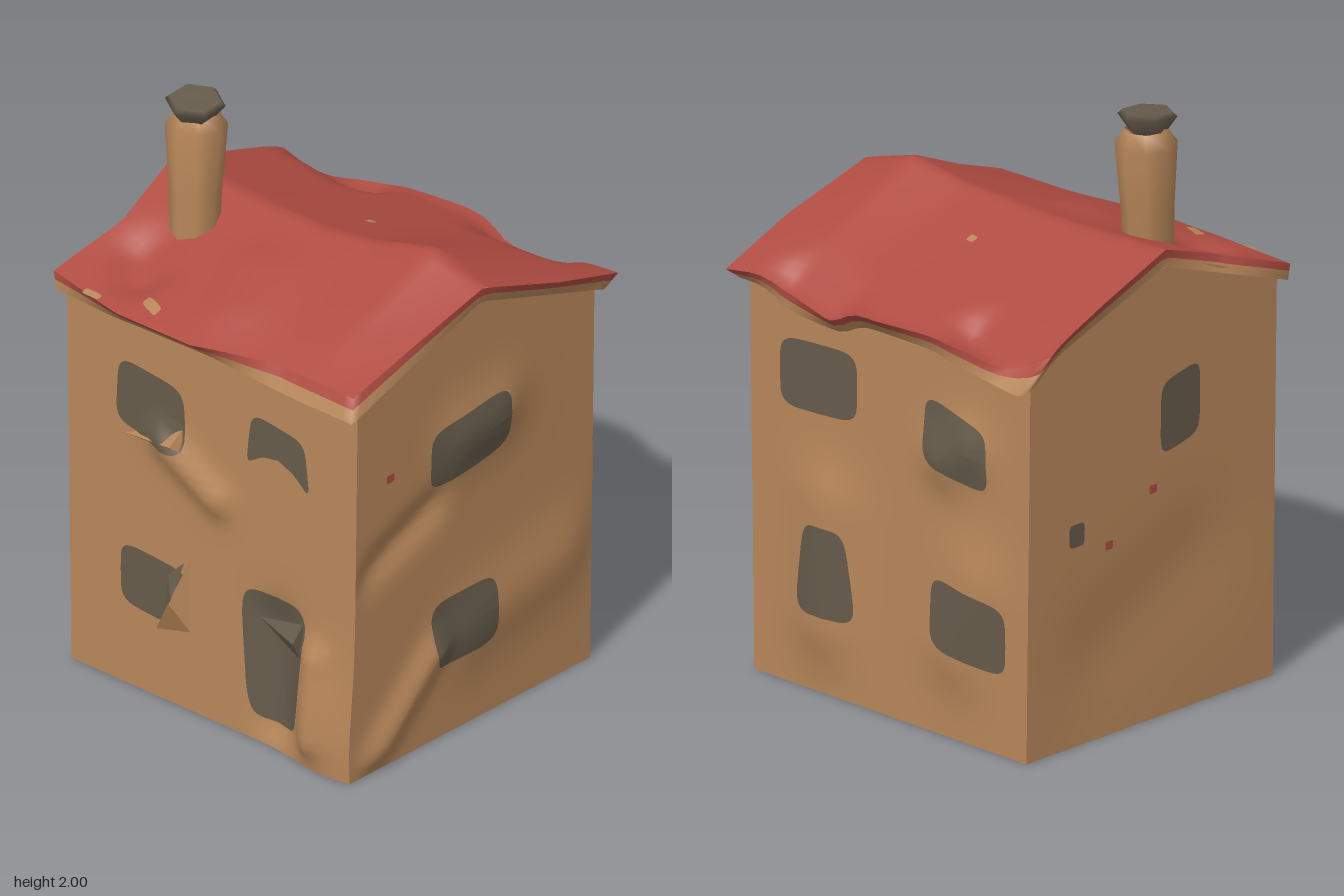
import * as THREE from 'three';
import { ConvexGeometry } from 'three/addons/geometries/ConvexGeometry.js';

const mat = (name, color) => {
  const m = new THREE.MeshStandardMaterial({ color, side: THREE.DoubleSide });
  m.name = name;
  return m;
};
const lerp = THREE.MathUtils.lerp;
const HX = 0.615, HZ = 0.565;

// Piecewise linear curve through evenly spaced values, t from 0 to 1
const along = (values, t) => {
  const k = THREE.MathUtils.clamp(t, 0, 1) * (values.length - 1);
  const i = Math.min(Math.floor(k), values.length - 2);
  return lerp(values[i], values[i + 1], k - i);
};

// Sum of soft lumps: [u, v, length along u, length along v, radius, amount]
const relief = (lumps, u, v) => lumps.reduce((sum, [a, b, dx, dy, r, amount]) => {
  const t = THREE.MathUtils.clamp(((u - a) * dx + (v - b) * dy) / (dx * dx + dy * dy), 0, 1);
  return sum + amount * Math.exp(-((u - a - t * dx) ** 2 + (v - b - t * dy) ** 2) / (r * r));
}, 0);

// Surface from fn(u, v), counter-clockwise when u runs right and v runs up
function grid(fn, nu, nv) {
  const pos = [], idx = [];
  for (let j = 0; j <= nv; j++) for (let i = 0; i <= nu; i++) pos.push(...fn(i / nu, j / nv));
  for (let j = 0; j < nv; j++) for (let i = 0; i < nu; i++) {
    const a = j * (nu + 1) + i, b = a + 1, c = a + nu + 1, d = c + 1;
    idx.push(a, b, d, a, d, c);
  }
  const g = new THREE.BufferGeometry();
  g.setAttribute('position', new THREE.Float32BufferAttribute(pos, 3));
  g.setIndex(idx);
  g.computeVertexNormals();
  return g;
}

// Sagging roof: ridge heights, uneven edges and dents
const RIDGE = [1.62, 1.61, 1.6, 1.6, 1.62, 1.67, 1.6];
const BACK = [-0.52, -0.59, -0.62, -0.65, -0.64, -0.6, -0.655];
const FRONT = [0.6, 0.65, 0.65, 0.57, 0.57];
const LEFT = [-0.68, -0.66, -0.65, -0.61, -0.66];
const RIGHT = [0.655, 0.68, 0.66, 0.64, 0.62];
const ROOF_DENTS = [
  [-0.46, 0.4, 0.06, 0.06, 0.1, -0.05],
  [-0.6, -0.58, 0.26, 0.06, 0.08, -0.06],
  [0.2, -0.62, 0.22, 0.04, 0.08, -0.06],
  [-0.05, 0.3, 0.05, 0.15, 0.12, 0.025],
];
function roofY(x, z) {
  const zr = 0.04 - 0.05 * THREE.MathUtils.smoothstep(x, 0, 0.45);
  const t = Math.min(1.05, Math.abs(z - zr) / 0.62);
  return lerp(along(RIDGE, (x + 0.66) / 1.32), 1.4, t) + relief(ROOF_DENTS, x, z);
}
function roofPoint(u, v) {
  const z = lerp(along(FRONT, u), along(BACK, u), v);
  const x = lerp(along(LEFT, 1 - v), along(RIGHT, 1 - v), u);
  return [x, roofY(x, z), z];
}
function eavePoint(u, v) {
  const x = lerp(-0.645, 0.645, u), z = lerp(0.605, -0.6, v);
  return [x, roofY(x, z) - 0.06, z];
}

// Lumps on each wall, u running right and v up as seen from outside
const WALLS = {
  front: [[-0.2, 0.95, 0.22, -0.13, 0.06, 0.04], [0.28, 0.1, 0, 0.35, 0.09, -0.03], [0.45, 0.1, 0, 0.3, 0.05, 0.04]],
  right: [[-0.46, 0.06, 0.26, 0.27, 0.06, 0.035], [-0.5, 0.74, 0.3, 0.12, 0.06, -0.03],
    [-0.05, 1.08, 0.15, 0.02, 0.12, 0.03], [0, 0.35, 0.45, 0.1, 0.14, 0.025]],
  back: [[-0.3, 0.25, 0.02, 0.4, 0.14, 0.035], [0.3, 0.3, 0.08, 0.25, 0.14, 0.03], [0.25, 0.95, 0.1, 0.07, 0.1, 0.035]],
  left: [[-0.2, 0.3, 0.4, 0.2, 0.2, -0.015]],
};
// Gentle lean of the whole body and a kicked-out front corner
const warp = (x, y, z) => [
  x * (1 + 0.03 * y / 1.35), y,
  z + 0.04 * Math.exp(-(((x - 0.5) / 0.15) ** 2 + ((y - 0.1) / 0.25) ** 2 + ((z - HZ) / 0.2) ** 2)),
];
function wallPoint(side, u, v, out = 0) {
  const half = side === 'front' || side === 'back' ? HX : HZ;
  const fade = (1 - Math.min(1, Math.abs(u / half)) ** 8) * Math.min(1, v / 0.06);
  const d = relief(WALLS[side], u, v) * fade + out;
  if (side === 'front') return warp(u, v, HZ + d);
  if (side === 'back') return warp(-u, v, -HZ - d);
  if (side === 'right') return warp(HX + d, v, -u);
  return warp(-HX - d, v, u);
}

function bodyGeometry() {
  const g = new THREE.BoxGeometry(2 * HX, 1, 2 * HZ, 40, 44, 40);
  const p = g.attributes.position, n = g.attributes.normal;
  for (let i = 0; i < p.count; i++) {
    const x = p.getX(i), z = p.getZ(i);
    const y = (p.getY(i) + 0.5) * (roofY(x, z) - 0.035);
    const nx = Math.round(n.getX(i)), nz = Math.round(n.getZ(i));
    let q = warp(x, y, z);
    if (nz) q = wallPoint(nz > 0 ? 'front' : 'back', x * nz, y);
    if (nx) q = wallPoint(nx > 0 ? 'right' : 'left', -z * nx, y);
    p.setXYZ(i, ...q);
  }
  g.computeVertexNormals();
  return g;
}

// Rounded crooked patch on a surface: skew tilts it, taper widens the top, notch lifts the bottom edge
function patch(surface, u, v, w, h, skew = 0, taper = 0, notch = 0) {
  const soft = (c) => Math.sign(c) * Math.abs(c) ** 0.4;
  return grid((s, t) => {
    const a = s * Math.PI * 2;
    const cx = soft(Math.cos(a)) * (1 - t), cy = soft(Math.sin(a)) * (1 - t);
    const lift = notch * Math.max(0, -cy) * (1 - cx * cx);
    return surface(u + w / 2 * cx * (1 + taper * cy), v + h / 2 * cy + skew * cx + lift);
  }, 48, 8);
}

export function createModel() {
  const house = new THREE.Group();
  house.name = 'crookedHouse';
  const plaster = mat('plaster', 0xb8875a), tile = mat('roofRed', 0xb04c42), dark = mat('darkGlass', 0x665b4b);
  const add = (name, geo, m) => {
    const mesh = new THREE.Mesh(geo, m);
    mesh.name = name;
    house.add(mesh);
    return mesh;
  };

  add('walls', bodyGeometry(), plaster);

  // Roof top, two-tone rim and underside
  add('roofTop', grid(roofPoint, 44, 44), tile);
  const rim = (from, to) => grid((s, t) => {
    const k = (s % 1) * 4, f = k % 1;
    const [u, v] = [[f, 0], [1, f], [1 - f, 1], [0, 1 - f]][Math.floor(k)];
    const a = eavePoint(u, v), b = roofPoint(u, v);
    return a.map((q, i) => lerp(q, b[i], lerp(from, to, t)));
  }, 128, 1);
  add('roofRim', rim(0.55, 1), tile);
  add('cornice', rim(0, 0.55), plaster);
  add('eaveUnderside', grid((u, v) => eavePoint(1 - u, v), 30, 30), plaster);

  // Windows and door
  const opening = (name, side, ...shape) =>
    add(name, patch((u, v) => wallPoint(side, u, v, 0.007), ...shape), dark);
  opening('frontUpperWindow', 'front', -0.255, 1.06, 0.29, 0.24, -0.015, -0.05);
  opening('frontArchWindow', 'front', 0.285, 1.08, 0.25, 0.21, -0.015, -0.1, 0.09);
  opening('frontLowerWindow', 'front', -0.245, 0.4, 0.29, 0.22, -0.01);
  opening('door', 'front', 0.27, 0.32, 0.26, 0.47, 0, 0.12);
  opening('rightUpperWindow', 'right', -0.04, 1.06, 0.36, 0.22, 0.025);
  opening('rightLowerWindow', 'right', -0.06, 0.39, 0.3, 0.24, 0.005);
  opening('backUpperWindow', 'back', -0.31, 1.08, 0.34, 0.24, 0.01);
  opening('backUpperWindow', 'back', 0.3, 1.02, 0.28, 0.22, -0.03);
  opening('backLowerWindow', 'back', -0.27, 0.43, 0.22, 0.31, 0, -0.2);
  opening('backLowerWindow', 'back', 0.36, 0.41, 0.33, 0.24, -0.02);
  opening('leftWindow', 'left', 0.12, 1.05, 0.18, 0.25, 0.02);
  opening('leftPeephole', 'left', -0.35, 0.735, 0.07, 0.08);

  // Stray paint spots
  const redSpot = (side, u, v) => add('redSpot', patch((a, b) => wallPoint(side, a, b, 0.006), u, v, 0.035, 0.03), tile);
  redSpot('right', -0.41, 1.06);
  redSpot('left', 0, 0.8);
  redSpot('left', -0.2, 0.66);
  const roofSpot = (x, z, w, h, skew) =>
    add('plasterSpot', patch((a, b) => [a, roofY(a, -b) + 0.007, -b], x, -z, w, h, skew), plaster);
  roofSpot(0.015, -0.175, 0.03, 0.03, 0);
  roofSpot(-0.255, 0.575, 0.08, 0.04, -0.015);
  roofSpot(-0.47, 0.625, 0.07, 0.025, 0);

  // Crumpled shutters and ledges, each a small wedge
  const wedge = (name, m, ...pts) => add(name, new ConvexGeometry(pts.map((p) => new THREE.Vector3(...p))), m);
  wedge('upperShutter', plaster, [-0.38, 0.92, 0.57], [-0.1, 0.93, 0.57], [-0.12, 1.03, 0.57], [-0.14, 0.97, 0.62]);
  wedge('lowerShutter', plaster, [-0.09, 0.56, 0.57], [-0.24, 0.25, 0.57], [-0.09, 0.29, 0.57], [-0.14, 0.4, 0.625]);
  wedge('shutterGlass', dark, [-0.1, 0.55, 0.59], [-0.16, 0.49, 0.6], [-0.17, 0.36, 0.61], [-0.12, 0.42, 0.635]);
  wedge('doorLedge', dark, [0.2, 0.45, 0.555], [0.4, 0.5, 0.57], [0.4, 0.36, 0.57], [0.39, 0.44, 0.61]);
  wedge('sideShutter', plaster, [0.61, 1.19, -0.1], [0.61, 1.17, -0.16], [0.61, 1.05, -0.15], [0.665, 1.17, -0.13]);

  // Leaning chimney with a tilted flared pot
  const lathe = (sides, ...profile) => new THREE.LatheGeometry(profile.map(([r, y]) => new THREE.Vector2(r, y)), sides);
  const stack = add('chimney', lathe(8, [0.08, 0], [0.087, 0.2], [0.102, 0.43], [0.068, 0.48]), plaster);
  stack.position.set(-0.395, 1.46, 0.22);
  stack.rotation.set(-0.07, 0, 0.04);
  const pot = add('chimneyPot', lathe(6, [0.06, 0], [0.1, 0.055], [0.085, 0.07], [0, 0.06]), dark);
  pot.position.set(-0.41, 1.92, 0.2);
  pot.rotation.set(0.06, 0, -0.08);

  return house;
}
